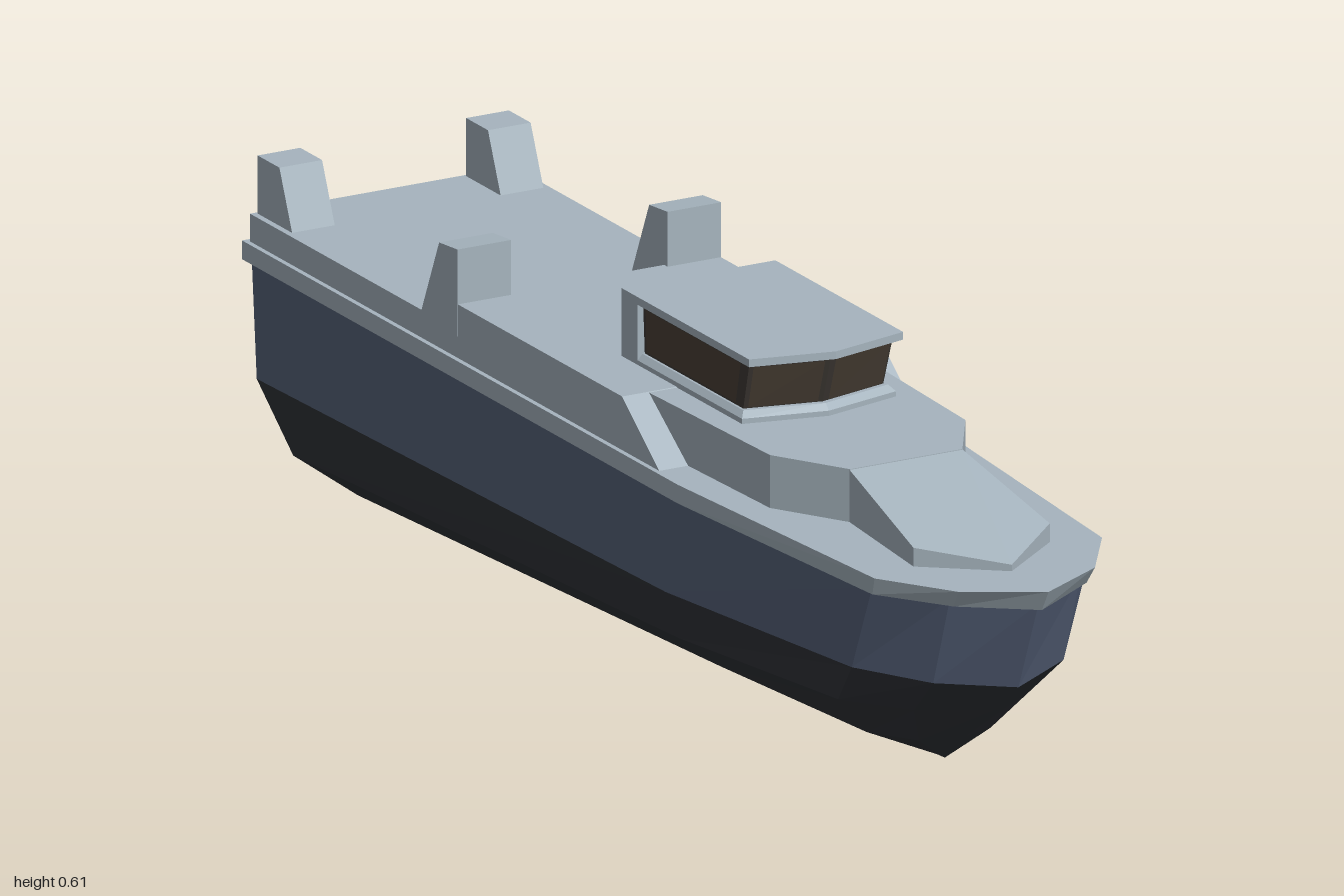
import * as THREE from 'three';

const mat = (name, color) => {
  const m = new THREE.MeshStandardMaterial({ color });
  m.name = name;
  return m;
};

// Full closed outline from a half outline running bow centre -> left side -> stern centre
const mirror = (half) => [
  ...half,
  ...half.slice(1, -1).reverse().map(([x, y, z]) => [-x, y, z]),
];
// Half outline given as [x, z] pairs, placed at a fixed height
const outline = (half, y) => mirror(half.map(([x, z]) => [x, y, z]));

function fromTriangles(tris) {
  const geo = new THREE.BufferGeometry();
  geo.setAttribute('position', new THREE.Float32BufferAttribute(tris.flat(2), 3));
  geo.computeVertexNormals();
  return geo;
}

function capTriangles(ring, up) {
  const pts = ring.map(([x, , z]) => new THREE.Vector2(x, -z));
  return THREE.ShapeUtils.triangulateShape(pts, []).map(([a, b, c]) => {
    const area = THREE.ShapeUtils.area([pts[a], pts[b], pts[c]]);
    return (area > 0) === up ? [ring[a], ring[b], ring[c]] : [ring[a], ring[c], ring[b]];
  });
}

// Faceted skin through stacked outlines, lowest first
function loft(rings, caps = true) {
  const tris = [];
  const add = (a, b, c) => {
    const [p, q, r] = [a, b, c].map((v) => new THREE.Vector3(...v));
    if (q.sub(p).cross(r.sub(p)).length() > 1e-7) tris.push([a, b, c]);
  };
  for (let j = 0; j < rings.length - 1; j++) {
    const lo = rings[j], hi = rings[j + 1], n = lo.length;
    for (let i = 0; i < n; i++) {
      const k = (i + 1) % n;
      add(lo[i], lo[k], hi[k]);
      add(lo[i], hi[k], hi[i]);
    }
  }
  if (caps) tris.push(...capTriangles(rings.at(-1), true), ...capTriangles(rings[0], false));
  return fromTriangles(tris);
}

// Side profile of [z, y] points extruded across from x0 to x1
function sideProfile(points, x0, x1) {
  const shape = new THREE.Shape(points.map(([z, y]) => new THREE.Vector2(z, y)));
  const geo = new THREE.ExtrudeGeometry(shape, { depth: x1 - x0, bevelEnabled: false });
  return geo.rotateY(-Math.PI / 2).translate(x1, 0, 0);
}

// Thin pane on a wall with corners a, b (bottom) and c, d (top), counter-clockwise
function pane([a, b, c, d], u0, u1, v0, v1) {
  const V = (p) => new THREE.Vector3(...p);
  const normal = V(b).sub(V(a)).cross(V(d).sub(V(a))).normalize();
  const at = (u, v) =>
    V(a).lerp(V(b), u).lerp(V(d).lerp(V(c), u), v).addScaledVector(normal, 0.003).toArray();
  const [p, q, r, s] = [at(u0, v0), at(u1, v0), at(u1, v1), at(u0, v1)];
  return fromTriangles([[p, q, r], [p, r, s]]);
}

export function createModel() {
  const ship = new THREE.Group();
  ship.name = 'ship';
  const grey = mat('deckGrey', 0xa6b4be);
  const navy = mat('hullBlue', 0x56627a);
  const dark = mat('lowerHullDark', 0x303338);
  const frame = mat('windowFrame', 0x3f3a35);
  const glass = mat('windowGlass', 0x4a4036);
  const add = (name, geo, material) => {
    const mesh = new THREE.Mesh(geo, material);
    mesh.name = name;
    ship.add(mesh);
  };

  // Hull lines, each from stem to transom centre
  const keel = mirror([
    [0, 0.07, 0.69], [0, 0.07, 0.69], [0, 0.069, 0.67],
    [0, 0.058, 0.25], [0, 0, -0.8], [0, 0, -0.8],
  ]);
  const bilge = mirror([
    [0, 0.12, 0.75], [0.06, 0.115, 0.72], [0.115, 0.12, 0.66],
    [0.13, 0.105, 0.25], [0.13, 0.055, -0.83], [0, 0.055, -0.85],
  ]);
  const chine = mirror([
    [0, 0.185, 0.835], [0.1, 0.185, 0.775], [0.18, 0.19, 0.69],
    [0.2, 0.16, 0.25], [0.2, 0.108, -0.9], [0, 0.108, -0.9],
  ]);
  const waterline = mirror([
    [0, 0.243, 0.91], [0.11, 0.25, 0.85], [0.185, 0.255, 0.74],
    [0.222, 0.235, 0.25], [0.222, 0.21, -0.97], [0, 0.21, -0.97],
  ]);
  const sheer = mirror([
    [0, 0.39, 0.97], [0.11, 0.395, 0.9], [0.185, 0.395, 0.8],
    [0.222, 0.395, 0.28], [0.222, 0.395, -0.985], [0, 0.395, -0.985],
  ]);
  add('lowerHull', loft([keel, bilge, chine, waterline], false), dark);
  add('upperHull', loft([waterline, sheer], false), navy);

  // Belt around the deck edge
  const beltTop = [[0, 1], [0.115, 0.935], [0.192, 0.82], [0.23, 0.3], [0.23, -1], [0, -1]];
  const beltLow = mirror([
    [0, 0.383, 0.98], [0.112, 0.388, 0.915], [0.19, 0.389, 0.81],
    [0.23, 0.388, 0.3], [0.23, 0.388, -1], [0, 0.388, -1],
  ]);
  add('deckBelt', loft([beltLow, outline(beltTop, 0.417)]), grey);

  // Main deckhouse, stepping down to the aft deck
  add('mainDeck', sideProfile([
    [0.24, 0.41], [0.12, 0.5], [-0.38, 0.5], [-0.48, 0.46], [-0.99, 0.46], [-0.99, 0.41],
  ], -0.222, 0.222), grey);

  // Narrow forward deckhouse
  const fore = [[0, 0.575], [0.095, 0.575], [0.165, 0.46], [0.178, 0.1], [0, 0.1]];
  add('foreDeckhouse', loft([outline(fore, 0.41), outline(fore, 0.499)]), grey);

  // Sloping nose on the foredeck
  const nose = [[0, 0.89], [0.115, 0.8], [0.095, 0.57], [0, 0.57]];
  const noseY = [0.427, 0.446, 0.499, 0.499];
  add('foredeckNose', loft([
    outline(nose, 0.41), mirror(nose.map(([x, z], i) => [x, noseY[i], z])),
  ]), grey);

  // Paired posts beside the aft deck
  for (const s of [1, -1]) {
    const span = (a, b) => (s > 0 ? [a, b] : [-b, -a]);
    add('midPost', sideProfile(
      [[-0.37, 0.45], [-0.37, 0.585], [-0.425, 0.58], [-0.48, 0.455]], ...span(0.132, 0.2225)), grey);
    add('sternPost', sideProfile(
      [[-0.88, 0.455], [-0.92, 0.55], [-0.985, 0.55], [-0.985, 0.455]], ...span(0.14, 0.212)), grey);
  }

  // Wheelhouse: sill, window band, rear wall and roof
  const sillLow = [[0, 0.345], [0.13, 0.315], [0.13, -0.04], [0, -0.04]];
  const sillTop = [[0, 0.335], [0.122, 0.305], [0.122, -0.04], [0, -0.04]];
  add('cabinSill', loft([
    outline(sillLow, 0.495), outline(sillLow, 0.507), outline(sillTop, 0.516),
  ]), grey);
  const bandLow = outline([[0, 0.325], [0.118, 0.297], [0.118, -0.01], [0, -0.01]], 0.513);
  const bandTop = outline([[0, 0.352], [0.121, 0.322], [0.121, -0.01], [0, -0.01]], 0.596);
  add('cabinWindowBand', loft([bandLow, bandTop]), frame);
  add('cabinRear', new THREE.BoxGeometry(0.26, 0.105, 0.048).translate(0, 0.5475, -0.02), grey);
  const roof = [[0, 0.366], [0.13, 0.336], [0.13, -0.045], [0, -0.045]];
  add('cabinRoof', loft([outline(roof, 0.593), outline(roof, 0.605)]), grey);

  // Window panes on the band's front and side walls
  const wall = (i, k) => [bandLow[i], bandLow[k], bandTop[k], bandTop[i]];
  const last = bandLow.length - 1;
  add('leftFrontWindow', pane(wall(0, 1), 0.07, 0.95, 0.08, 0.9), glass);
  add('rightFrontWindow', pane(wall(last, 0), 0.05, 0.93, 0.08, 0.9), glass);
  add('leftSideWindow', pane(wall(1, 2), 0.06, 0.92, 0.1, 0.9), glass);
  add('rightSideWindow', pane(wall(last - 1, last), 0.08, 0.94, 0.1, 0.9), glass);

  return ship;
}
